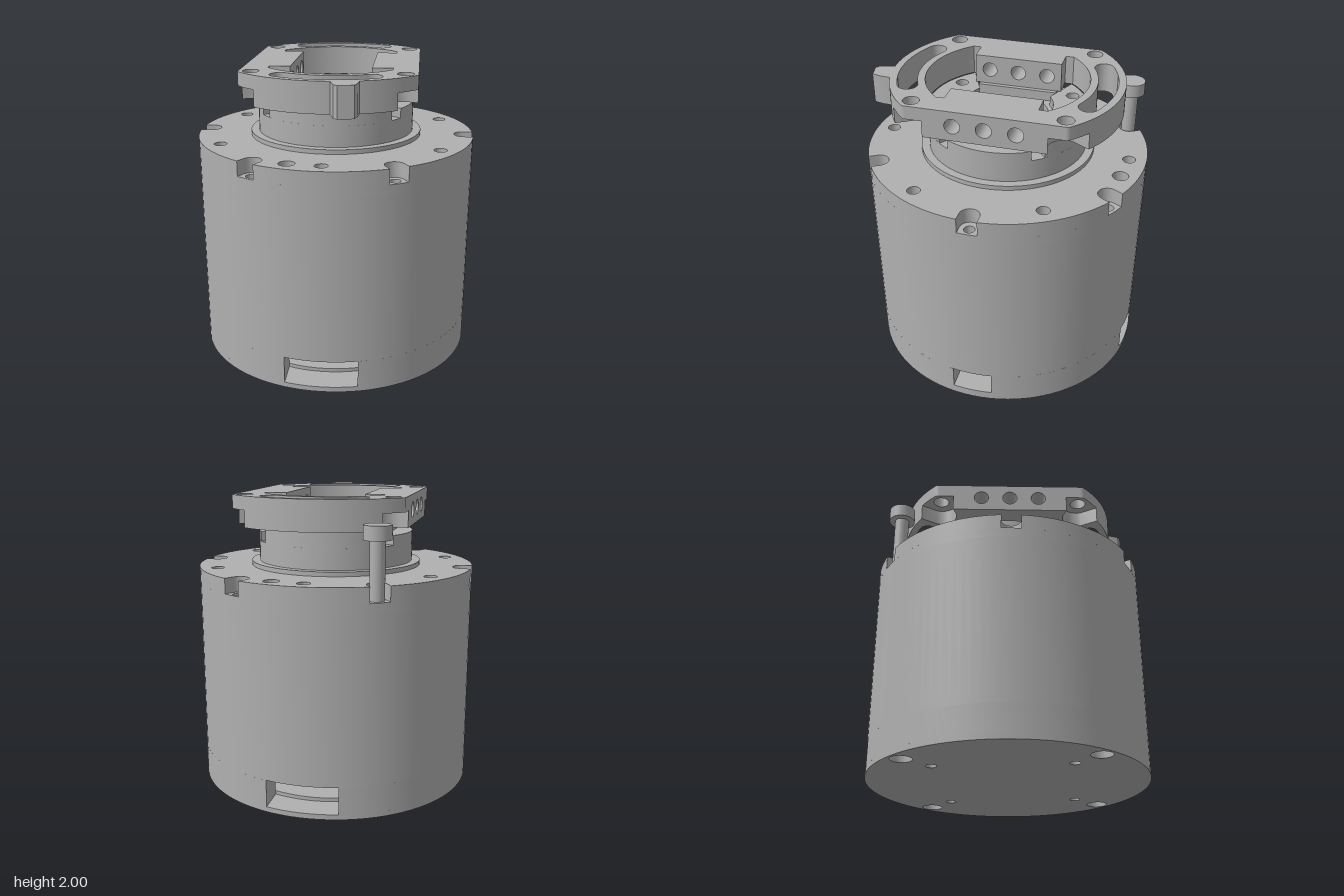
import * as THREE from 'three';
import { toCreasedNormals } from 'three/addons/utils/BufferGeometryUtils.js';

const RAD = Math.PI / 180;
const polar = (r, a) => new THREE.Vector2(r * Math.cos(a), r * Math.sin(a));

export function createModel() {
  const model = new THREE.Group();
  const grey = new THREE.MeshStandardMaterial({ color: 0xb0b0b0, side: THREE.DoubleSide });
  grey.name = 'machined grey';

  const add = (name, geometry, x = 0, y = 0, z = 0) => {
    const mesh = new THREE.Mesh(geometry, grey);
    mesh.name = name;
    mesh.position.set(x, y, z);
    model.add(mesh);
    return mesh;
  };
  // Shapes are drawn in plan (x, z) and extruded between two heights.
  const slab = (name, shape, y0, y1) => {
    const g = new THREE.ExtrudeGeometry(shape, { depth: y1 - y0, bevelEnabled: false, curveSegments: 32 });
    g.rotateX(Math.PI / 2);
    return add(name, toCreasedNormals(g, 0.5), 0, y1, 0);
  };
  const hole = (p, r) => new THREE.Path().absarc(p.x, p.y, r, 0, Math.PI * 2, false);
  const disc = (r, holes = []) => {
    const s = new THREE.Shape();
    for (let i = 0; i < 96; i++) {
      const p = polar(r, i / 96 * Math.PI * 2);
      i ? s.lineTo(p.x, p.y) : s.moveTo(p.x, p.y);
    }
    s.holes.push(...holes);
    return s;
  };
  // Disc with round-ended slots cut in from the rim.
  const slottedDisc = (r, angles, halfWidth, centre, holes) => {
    const pts = [], half = Math.asin(halfWidth / r);
    angles.forEach((a, i) => {
      const next = i + 1 < angles.length ? angles[i + 1] : angles[0] + Math.PI * 2;
      pts.push(polar(r, a - half));
      const c = polar(centre, a);
      for (let k = 0; k <= 12; k++) {
        pts.push(polar(halfWidth, a - Math.PI / 2 - k / 12 * Math.PI).add(c));
      }
      for (let k = 0; k < 16; k++) pts.push(polar(r, a + half + (next - a - 2 * half) * k / 16));
    });
    const s = new THREE.Shape(pts);
    s.holes.push(...holes);
    return s;
  };
  const ringSector = (r0, r1, a0, a1, b0 = a0, b1 = a1) => {
    const pts = [], n = 40;
    for (let i = 0; i <= n; i++) pts.push(polar(r1, a0 + (a1 - a0) * i / n));
    for (let i = n; i >= 0; i--) pts.push(polar(r0, b0 + (b1 - b0) * i / n));
    return new THREE.Shape(pts);
  };

  const R = 0.945, WALL = 0.76;
  const six = [0, 1, 2, 3, 4, 5].map(i => i * 60 * RAD);
  const four = [0, 1, 2, 3].map(i => (50.5 + i * 90) * RAD);

  // Base floor with screw holes
  const deepHoles = four.map(a => hole(polar(0.855, a), 0.07));
  const smallHoles = four.map(a => hole(polar(0.63, a), 0.035));
  slab('baseFloor', disc(R, [...deepHoles, ...smallHoles]), 0, 0.035);
  slab('innerFloor', disc(WALL, smallHoles), 0.035, 0.06);

  // Lower wall, open at the front, back and left side
  const o = Math.asin(0.24 / R), i = Math.asin(0.24 / WALL);
  const so = Math.asin(0.135 / R), si = Math.asin(0.135 / WALL), q = Math.PI / 2;
  const walls = [
    [so, q - o, si, q - i],
    [q + o, 3 * q - o, q + i, 3 * q - i],
    [3 * q + o, 4 * q - so, 3 * q + i, 4 * q - si],
  ];
  walls.forEach(([a0, a1, b0, b1]) => {
    const s = ringSector(WALL, R, a0, a1, b0, b1);
    four.filter(a => a > a0 && a < a1).forEach(a => s.holes.push(hole(polar(0.855, a), 0.07)));
    slab('lowerWall', s, 0.035, 0.22);
  });
  slab('sideWindowSill', ringSector(WALL, R, -so, so, -si, si), 0.035, 0.06);
  add('innerBlock', new THREE.BoxGeometry(0.46, 0.09, 0.7), -0.45, 0.105, 0);

  // Main housing and drilled, notched top flange
  slab('housing', disc(R), 0.22, 1.34);
  slab('notchFloor', disc(R, six.map(a => hole(polar(0.89, a), 0.035))), 1.34, 1.4);
  slab('topFlange', slottedDisc(R, six, 0.065, 0.88, [
    ...six.map(a => hole(polar(0.83, a + 30 * RAD), 0.043)),
    hole(new THREE.Vector2(0.215, -0.805), 0.053),
    hole(new THREE.Vector2(-0.215, 0.805), 0.053),
    hole(new THREE.Vector2(0, 0), 0.5),
  ]), 1.4, 1.5);

  // Loose raised screw
  add('screwShank', new THREE.CylinderGeometry(0.048, 0.048, 0.4, 32), -0.44, 1.58, -0.76);
  add('screwHead', new THREE.CylinderGeometry(0.088, 0.088, 0.09, 40), -0.44, 1.815, -0.76);

  // Output neck with stepped bore
  const profile = [[0, 1.41], [0.16, 1.41], [0.16, 1.45], [0.27, 1.45], [0.27, 1.67], [0.53, 1.67],
    [0.53, 1.53], [0.585, 1.53], [0.585, 1.5], [0.49, 1.5]].map(p => new THREE.Vector2(...p));
  add('neck', toCreasedNormals(new THREE.LatheGeometry(profile, 96), 0.5));
  const grooves = [36, 144, 216, 324].map(a => a * RAD);
  slab('neckTop', slottedDisc(0.53, grooves, 0.045, 0.48, [hole(new THREE.Vector2(0, 0), 0.27)]), 1.67, 1.735);

  // End pads with bolt holes, and side rails, carrying the top plate
  const padEnd = Math.acos(0.4 / 0.53);
  for (const turn of [0, Math.PI]) {
    const pad = ringSector(0.3, 0.53, padEnd, Math.PI - padEnd, 55 * RAD, 125 * RAD);
    pad.holes.push(hole(new THREE.Vector2(0.225, 0.39), 0.043), hole(new THREE.Vector2(-0.225, 0.39), 0.043));
    slab('neckPad', pad, 1.735, 1.8).rotation.y = turn;
    add('neckRail', new THREE.BoxGeometry(0.17, 0.065, 0.54), turn ? -0.32 : 0.32, 1.7675, 0);
  }

  // Top plate ends: round outside, flat flanks, corner recesses on the lower layer
  const HX = 0.565, PR = 0.765, corner = 0.485, scoop = 0.11;
  const rim = (a, scooped) => {
    const r = Math.min(PR, HX / Math.max(Math.abs(Math.cos(a)), 1e-6));
    if (!scooped) return r;
    const d = Math.hypot(corner, corner);
    const off = Math.min(Math.abs(a - 45 * RAD), Math.abs(a - 135 * RAD));
    const side = d * Math.sin(off);
    return side < scoop ? Math.min(r, d * Math.cos(off) - Math.sqrt(scoop ** 2 - side ** 2)) : r;
  };
  const plateEnd = scooped => {
    const pts = [], a0 = Math.atan2(0.3, HX), b0 = Math.acos(0.4 / 0.535);
    for (let k = 0; k <= 140; k++) {
      const a = a0 + (Math.PI - 2 * a0) * k / 140;
      pts.push(polar(rim(a, scooped), a));
    }
    pts.push(new THREE.Vector2(-0.4, 0.3));
    for (let k = 0; k <= 40; k++) pts.push(polar(0.535, Math.PI - b0 - (Math.PI - 2 * b0) * k / 40));
    pts.push(new THREE.Vector2(0.4, 0.3));
    const s = new THREE.Shape(pts);
    // Kidney slot
    const k0 = 64 * RAD, k1 = 116 * RAD, c0 = polar(0.65, k0), c1 = polar(0.65, k1);
    s.holes.push(new THREE.Path()
      .absarc(0, 0, 0.715, k0, k1, false)
      .absarc(c1.x, c1.y, 0.065, k1, k1 + Math.PI, false)
      .absarc(0, 0, 0.585, k1, k0, true)
      .absarc(c0.x, c0.y, 0.065, k0 + Math.PI, k0 + 2 * Math.PI, false));
    if (!scooped) for (const m of [1, -1]) s.holes.push(hole(new THREE.Vector2(m * corner, corner), 0.053));
    return s;
  };
  for (const turn of [0, Math.PI]) {
    slab('plateEndLower', plateEnd(true), 1.8, 1.91).rotation.y = turn;
    slab('plateEndUpper', plateEnd(false), 1.91, 2).rotation.y = turn;
  }

  // Plate side bars with three cross holes
  const barShape = new THREE.Shape([[-0.3, -0.1], [0.3, -0.1], [0.3, 0.1], [-0.3, 0.1]].map(p => new THREE.Vector2(...p)));
  for (const z of [-0.2, 0, 0.2]) barShape.holes.push(hole(new THREE.Vector2(z, 0), 0.05));
  const bar = new THREE.ExtrudeGeometry(barShape, { depth: 0.3, bevelEnabled: false, curveSegments: 32 });
  bar.rotateY(Math.PI / 2);
  const barGeometry = toCreasedNormals(bar, 0.5);
  add('plateBar', barGeometry, 0.265, 1.9, 0);
  add('plateBar', barGeometry, -0.565, 1.9, 0);

  // Front stop tab
  slab('stopTab', new THREE.Shape([[0.04, 0.74], [0.22, 0.72], [0.215, 0.8], [0.2, 0.86], [0.1, 0.88], [0.075, 0.86]]
    .map(p => new THREE.Vector2(...p))), 1.8, 2);

  return model;
}
